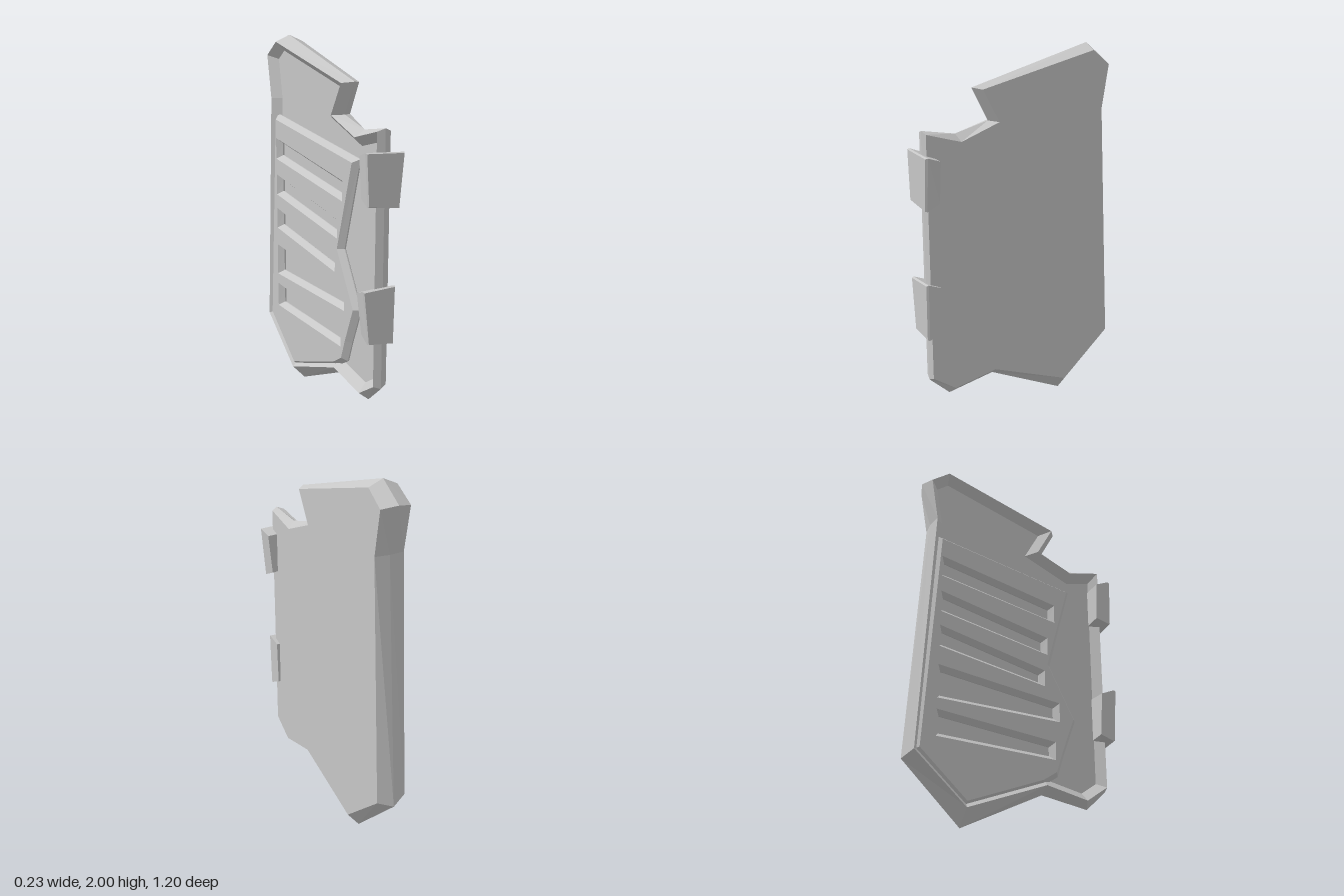
import * as THREE from 'three';

const metal = new THREE.MeshStandardMaterial({ color: 0xc7c7c7 });
metal.name = 'greyMetal';

const rimX = (z) => -0.117 + (z + 0.56) * 0.086; // tapering inner side of the plate
const ridgeX = (z) => -0.004 + z * 0.0427;       // outermost edge line

// Joins rings of [x, y, z] points, each listed counter-clockwise as seen from the last ring's side
function loft(rings, axes) {
  const pos = [];
  const tri = (...pts) => pts.forEach((p) => pos.push(...p));
  const n = rings[0].length;
  for (let j = 0; j + 1 < rings.length; j++) {
    for (let i = 0; i < n; i++) {
      const k = (i + 1) % n, lo = rings[j], hi = rings[j + 1];
      tri(lo[i], lo[k], hi[k]);
      tri(lo[i], hi[k], hi[i]);
    }
  }
  const cap = (ring, flip) => {
    const flat = ring.map((p) => new THREE.Vector2(p[axes[0]], p[axes[1]]));
    for (const [a, b, c] of THREE.ShapeUtils.triangulateShape(flat, [])) {
      if (flip) tri(ring[a], ring[c], ring[b]);
      else tri(ring[a], ring[b], ring[c]);
    }
  };
  cap(rings[0], true);
  cap(rings[rings.length - 1], false);
  const g = new THREE.BufferGeometry();
  g.setAttribute('position', new THREE.Float32BufferAttribute(pos, 3));
  g.computeVertexNormals();
  return g;
}

// Moves a counter-clockwise outline inward with mitred corners
function inset(pts, d) {
  const n = pts.length;
  const normal = (a, b) => {
    const l = Math.hypot(b[0] - a[0], b[1] - a[1]);
    return [-(b[1] - a[1]) / l, (b[0] - a[0]) / l];
  };
  return pts.map((p, i) => {
    const u = normal(pts[(i + n - 1) % n], p), v = normal(p, pts[(i + 1) % n]);
    const s = d / (1 + u[0] * v[0] + u[1] * v[1]);
    return [p[0] + (u[0] + v[0]) * s, p[1] + (u[1] + v[1]) * s];
  });
}

function addMesh(group, geometry, name) {
  const mesh = new THREE.Mesh(geometry, metal);
  mesh.name = name;
  group.add(mesh);
}

export function createModel() {
  const group = new THREE.Group();
  group.name = 'doorPlate';

  // Outlines as [z, y], counter-clockwise: the outermost edge and the bevelled face
  const edge = [[0.575, 1.635], [0.385, 1.6], [0.19, 1.645], [0.285, 1.82], [-0.435, 2.0], [-0.563, 1.9],
    [-0.503, 1.65], [-0.6, 0.3], [-0.28, 0], [0.18, 0.225], [0.455, 0.183], [0.575, 0.295]];
  const face = [[0.565, 1.62], [0.37, 1.563], [0.15, 1.64], [0.245, 1.812], [-0.43, 1.965], [-0.533, 1.885],
    [-0.493, 1.65], [-0.567, 0.33], [-0.277, 0.085], [0.185, 0.265], [0.435, 0.22], [0.565, 0.31]];
  const ring = (pts, fx) => pts.map(([z, y]) => [fx(z), y, z]);

  // Plate: flat outer face, bevelled rim, recessed inner floor
  addMesh(group, loft([
    ring(face, () => 0.054),
    ring(edge, ridgeX),
    ring(face, rimX),
    ring(inset(face, 0.045), (z) => rimX(z) + 0.045),
  ], [2, 1]), 'plate');

  // Raised inner panel, flush with the lower rim, with five slanted slots
  const toV = (pts) => pts.map((p) => new THREE.Vector2(...p));
  const panel = new THREE.Shape(toV([[-0.478, 1.56], [-0.562, 0.335], [-0.277, 0.09], [0.18, 0.27], [0.27, 0.33],
    [0.31, 0.45], [0.39, 0.66], [0.23, 0.95], [0.37, 1.45]]));
  const slots = [ // back bottom, back top, front bottom, front top, front end
    [1.33, 1.4, 1.24, 1.3, 0.23], [1.12, 1.19, 1.03, 1.085, 0.18], [0.92, 0.99, 0.84, 0.885, 0.16],
    [0.64, 0.77, 0.65, 0.71, 0.25], [0.44, 0.53, 0.435, 0.485, 0.22]];
  for (const [bb, bt, fb, ft, end] of slots) {
    panel.holes.push(new THREE.Path(toV([[-0.43, bb], [-0.43, bt], [end, ft], [end, fb]])));
  }
  const louvre = new THREE.ExtrudeGeometry(panel, {
    depth: 0.005, bevelEnabled: true, bevelSegments: 1, bevelSize: 0.025, bevelThickness: 0.03, bevelOffset: -0.025,
  });
  const p = louvre.attributes.position;
  for (let i = 0; i < p.count; i++) {
    const z = p.getX(i), y = p.getY(i), h = p.getZ(i);
    p.setXYZ(i, rimX(z) + 0.04 - h, y, z);
  }
  louvre.computeVertexNormals();
  addMesh(group, louvre, 'slottedPanel');

  // Two skewed hinge blocks on the front edge
  const hinges = {
    upperHinge: [[-0.095, 1.53], [-0.08, 1.265], [0.093, 1.243], [0.117, 1.518]],
    lowerHinge: [[-0.1, 0.845], [-0.07, 0.56], [0.074, 0.543], [0.079, 0.852]],
  };
  for (const [name, quad] of Object.entries(hinges)) {
    const cx = quad.reduce((s, q) => s + q[0], 0) / 4, cy = quad.reduce((s, q) => s + q[1], 0) / 4;
    const layer = (kx, ky, z) => quad.map(([x, y]) => [cx + (x - cx) * kx, cy + (y - cy) * ky, z]);
    addMesh(group, loft([layer(0.92, 0.8, 0.515), layer(1, 1, 0.588), layer(0.95, 0.97, 0.6)], [0, 1]), name);
  }
  return group;
}
